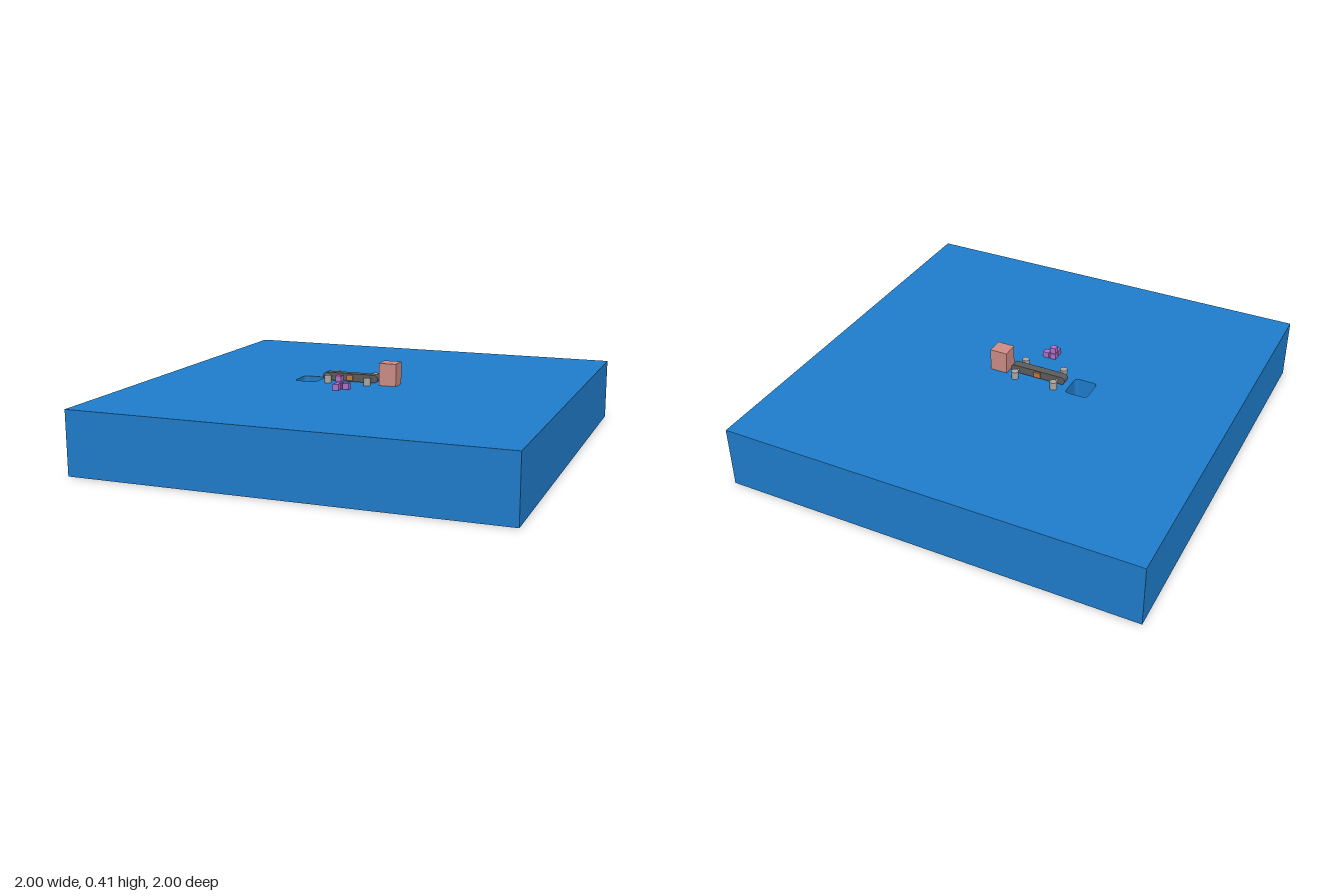
import * as THREE from 'three';

const mat = (color) => new THREE.MeshStandardMaterial({ color });

// Rounded rectangle outline, usable as a shape or a hole
function roundedRect(Type, cx, cy, w, h, r) {
  const p = new Type();
  const x = w / 2 - r, y = h / 2 - r;
  p.absarc(cx + x, cy + y, r, 0, Math.PI / 2);
  p.absarc(cx - x, cy + y, r, Math.PI / 2, Math.PI);
  p.absarc(cx - x, cy - y, r, Math.PI, Math.PI * 1.5);
  p.absarc(cx + x, cy - y, r, Math.PI * 1.5, Math.PI * 2);
  p.closePath();
  return p;
}

export function createModel() {
  const model = new THREE.Group();
  const blue = mat(0x1f7dcc), steel = mat(0xaaa8a4), dark = mat(0x5c5c5c);
  const pink = mat(0xcd8c86), purple = mat(0xb070cc), orange = mat(0xc27a45);

  const add = (name, geometry, material, x, y, z, parent = model) => {
    const mesh = new THREE.Mesh(geometry, material);
    mesh.name = name;
    mesh.position.set(x, y, z);
    parent.add(mesh);
    return mesh;
  };

  // Ground slab with a rounded pit passing right through it
  const top = 0.3;
  const outline = new THREE.Shape([
    new THREE.Vector2(-1, -1), new THREE.Vector2(1, -1),
    new THREE.Vector2(1, 1), new THREE.Vector2(-1, 1),
  ]);
  outline.holes.push(roundedRect(THREE.Path, -0.28, 0, 0.11, 0.125, 0.018));
  const slab = new THREE.ExtrudeGeometry(outline, { depth: top, bevelEnabled: false, curveSegments: 6 });
  slab.rotateX(-Math.PI / 2);
  add('groundSlab', slab, blue, 0, 0, 0);

  // Conveyor: belt with round ends, cross axles on four posts, motor block
  const conveyor = new THREE.Group();
  conveyor.name = 'conveyor';
  conveyor.position.set(-0.064, top, 0);
  model.add(conveyor);
  const beltWidth = 0.04;
  const belt = new THREE.ExtrudeGeometry(
    roundedRect(THREE.Shape, 0, 0, 0.28, 0.038, 0.0189),
    { depth: beltWidth, bevelEnabled: false, curveSegments: 10 });
  add('belt', belt, dark, 0, 0.024, -beltWidth / 2, conveyor);
  add('motorBlock', new THREE.BoxGeometry(0.032, 0.026, 0.058), orange, 0, 0.024, 0, conveyor);

  const post = new THREE.CylinderGeometry(0.017, 0.017, 0.038, 20);
  const axle = new THREE.CylinderGeometry(0.006, 0.006, 0.12, 12).rotateX(Math.PI / 2);
  for (const x of [-0.1, 0.1]) {
    add('axle', axle, steel, x, 0.024, 0, conveyor);
    for (const z of [-0.058, 0.058]) add('post', post, steel, x, 0.019, z, conveyor);
  }

  // Machine box at the end of the belt
  add('machineBox', new THREE.BoxGeometry(0.085, 0.107, 0.08), pink, 0.132, top + 0.0535, 0);

  // Pile of small cubes
  const size = 0.029, step = 0.036;
  const cube = new THREE.BoxGeometry(size, size, size);
  for (const [i, j, k] of [[0, 0, 0], [1, 0, 0], [0, 0, 1], [0, 1, 0]]) {
    add('cube', cube, purple, -0.056 + i * step, top + 0.0165 + j * 0.033, 0.178 + k * step);
  }

  return model;
}
